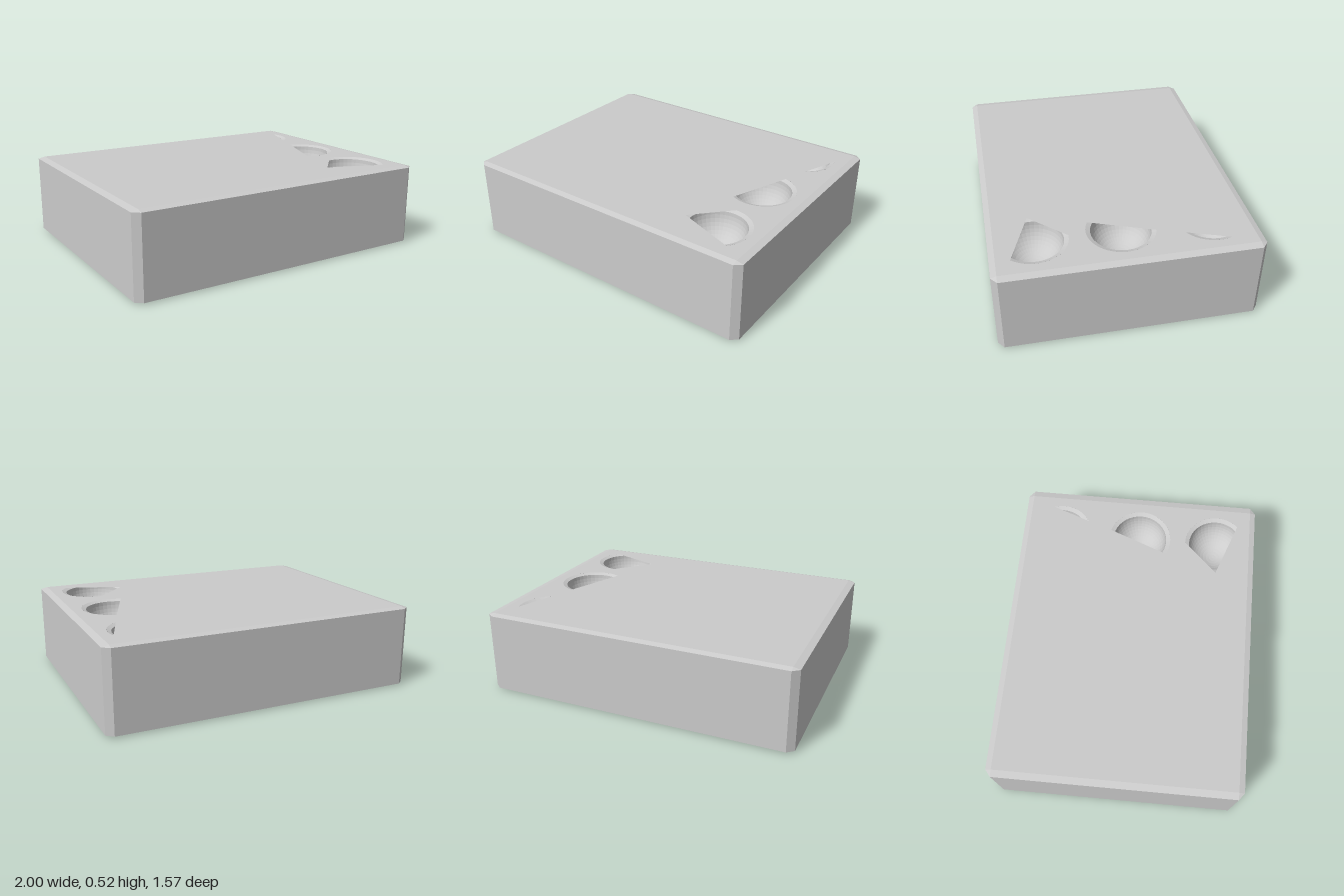
import * as THREE from 'three';

const HX = 1, HZ = 0.785, H = 0.52;      // half width, half depth, height
const CX = 0.043, CZ = 0.035, CY = 0.01; // chamfer sizes
const BOWL_X = 0.69, BOWL_R = 0.18, LIP_R = 0.207;

// Each bowl: centre z and the angles (from +x towards +z) bounding its opening
const bowls = [
  { z: -0.53, angles: [-19.5, 59.5] },
  { z: 0.01, angles: [-76, 118] },
  { z: 0.525, angles: [-90, 43], extra: 177 },
];

const material = new THREE.MeshStandardMaterial({ color: 0xcccccc, flatShading: true, side: THREE.DoubleSide });

function part(name, geometry) {
  const mesh = new THREE.Mesh(geometry, material);
  mesh.name = name;
  return mesh;
}

// Eight corner points; the inset ring collapses to a rectangle
function ring(y, inset) {
  const pts = [];
  for (const [sx, sz] of [[1, 1], [1, -1], [-1, -1], [-1, 1]]) {
    const a = [sx * (HX - (inset ? CX : 0)), y, sz * (HZ - CZ)];
    const b = [sx * (HX - CX), y, sz * (HZ - (inset ? CZ : 0))];
    pts.push(...(sx * sz > 0 ? [b, a] : [a, b]));
  }
  return pts;
}

// Chamfered side walls, lofted from ring to ring
function wallGeometry() {
  const rings = [ring(0, true), ring(CY, false), ring(H - CY, false), ring(H, true)];
  const pos = [];
  for (let r = 0; r < 3; r++) {
    for (let i = 0; i < 8; i++) {
      const j = (i + 1) % 8;
      const [a, b, c, d] = [rings[r][i], rings[r][j], rings[r + 1][j], rings[r + 1][i]];
      pos.push(...a, ...b, ...c, ...a, ...c, ...d);
    }
  }
  const g = new THREE.BufferGeometry();
  g.setAttribute('position', new THREE.Float32BufferAttribute(pos, 3));
  g.computeVertexNormals();
  return g;
}

function plate() {
  const x = HX - CX, z = HZ - CZ;
  return new THREE.Shape([[-x, -z], [x, -z], [x, z], [-x, z]].map(p => new THREE.Vector2(...p)));
}

// Arc of the lip circle, closed by straight cuts
function opening({ z, angles, extra }) {
  const [a0, a1] = angles;
  const list = [];
  for (let i = 0; i <= 32; i++) list.push(a0 + (a1 - a0) * i / 32);
  if (extra !== undefined) list.push(extra);
  return new THREE.Path(list.map(deg => {
    const t = THREE.MathUtils.degToRad(deg);
    return new THREE.Vector2(BOWL_X + LIP_R * Math.cos(t), -(z + LIP_R * Math.sin(t)));
  }));
}

// Hemispherical bowl with a shallow bevelled lip
function bowlGeometry() {
  const profile = [new THREE.Vector2(LIP_R, H)];
  for (let i = 0; i <= 12; i++) {
    const t = i / 12 * Math.PI / 2;
    profile.push(new THREE.Vector2(BOWL_R * Math.cos(t), H - CY - BOWL_R * Math.sin(t)));
  }
  return new THREE.LatheGeometry(profile, 40);
}

export function createModel() {
  const model = new THREE.Group();
  model.name = 'block';
  model.add(part('sideWalls', wallGeometry()));

  const top = plate();
  top.holes = bowls.map(opening);
  model.add(part('topFace', new THREE.ShapeGeometry(top).rotateX(-Math.PI / 2).translate(0, H, 0)));
  model.add(part('bottomFace', new THREE.ShapeGeometry(plate()).rotateX(Math.PI / 2)));

  bowls.forEach(({ z }, i) => {
    const bowl = part(`bowl${i + 1}`, bowlGeometry());
    bowl.position.set(BOWL_X, 0, z);
    model.add(bowl);
  });
  return model;
}
